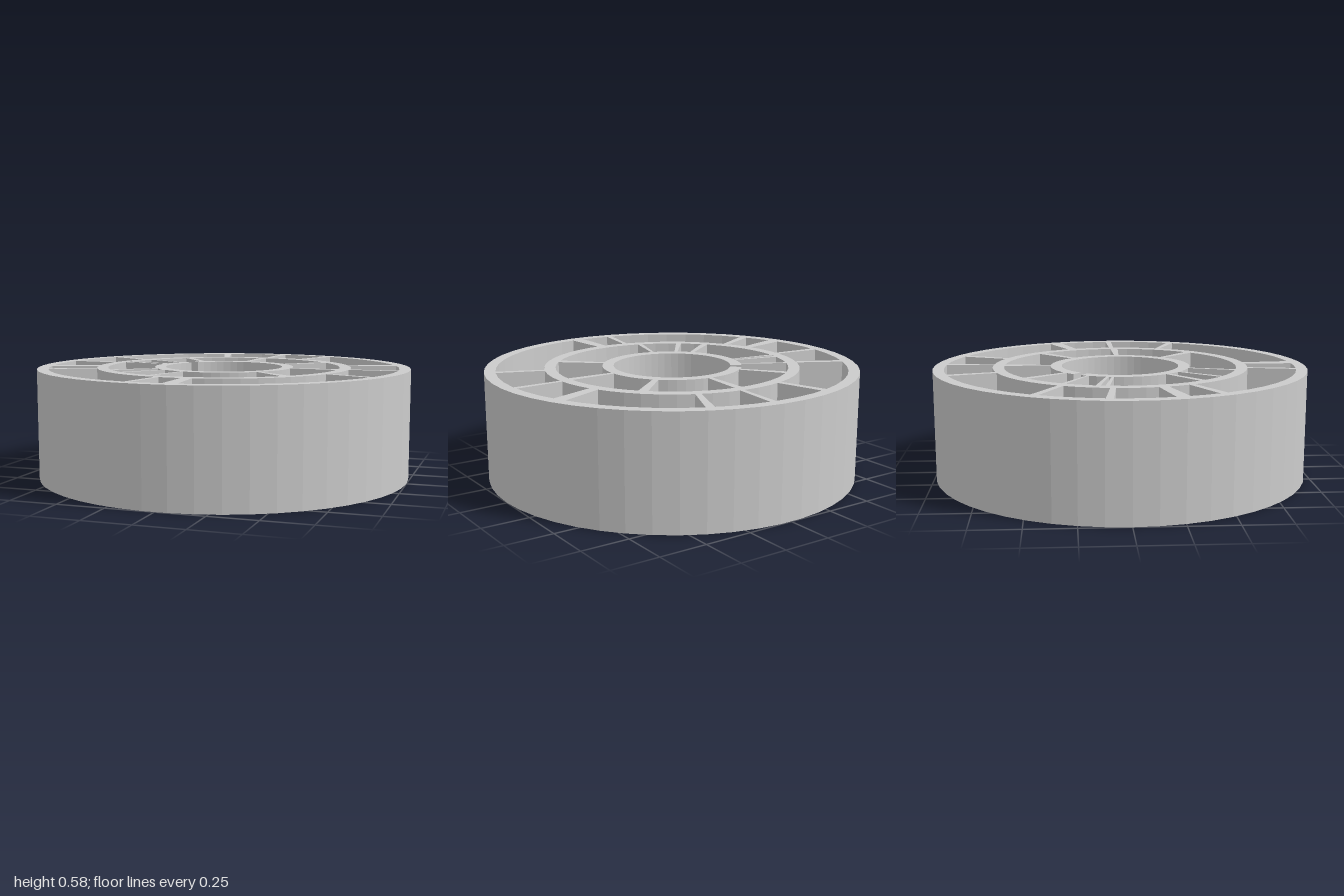
import * as THREE from 'three';

const HEIGHT = 0.585;
const rad = THREE.MathUtils.degToRad;
const material = new THREE.MeshStandardMaterial({ color: 0xcccccc, flatShading: true });

// Extrude a plan shape upwards from the ground
function extrudeUp(name, shape) {
  const geometry = new THREE.ExtrudeGeometry(shape, { depth: HEIGHT, bevelEnabled: false, curveSegments: 25 });
  geometry.rotateX(-Math.PI / 2);
  const mesh = new THREE.Mesh(geometry, material);
  mesh.name = name;
  return mesh;
}

// Closed 50-sided ring
function ring(name, inner, outer) {
  const shape = new THREE.Shape().absarc(0, 0, outer, 0, Math.PI * 2, false);
  shape.holes.push(new THREE.Path().absarc(0, 0, inner, 0, Math.PI * 2, true));
  return extrudeUp(name, shape);
}

// Ring interrupted by a slot; runs from one angle to the other
function splitRing(name, inner, outer, from, to) {
  const shape = new THREE.Shape();
  shape.absarc(0, 0, outer, rad(from), rad(to), false);
  shape.absarc(0, 0, inner, rad(to), rad(from), true);
  shape.closePath();
  return extrudeUp(name, shape);
}

// Wedge-shaped walls between two rings, each given by its two angles
function spokes(name, inner, outer, angles) {
  const group = new THREE.Group();
  group.name = name;
  angles.forEach(([a, b], i) => {
    const corner = (r, deg) => new THREE.Vector2(r * Math.cos(rad(deg)), r * Math.sin(rad(deg)));
    const shape = new THREE.Shape([corner(inner, a), corner(outer, a), corner(outer, b), corner(inner, b)]);
    group.add(extrudeUp(`${name}${i + 1}`, shape));
  });
  return group;
}

export function createModel() {
  const model = new THREE.Group();
  model.name = 'ringMaze';

  model.add(
    ring('outerRing', 0.94, 1),
    ring('middleRing', 0.625, 0.685),
    splitRing('innerRing', 0.315, 0.375, 144.7, 497),
  );

  // Walls between the outer and middle rings
  model.add(spokes('outerSpoke', 0.683, 0.941, [
    [0.2, 2.3], [19.6, 24], [64.8, 67.4], [84.2, 86.2], [105.7, 108.3], [150.8, 153.3],
    [172.8, 175.1], [192.5, 196.7], [206.1, 208.8], [259.1, 261.1], [271, 275.6], [336.3, 338.5],
  ]));

  // Walls between the middle and inner rings
  model.add(spokes('innerSpoke', 0.373, 0.626, [
    [-2, 2], [40.5, 45], [84.7, 88.7], [126, 129.8], [149.7, 151.8], [165.9, 168.1],
    [170.3, 172.2], [215.9, 219.4], [230.6, 233.3], [251.9, 254.5], [315, 319.2],
  ]));

  return model;
}
